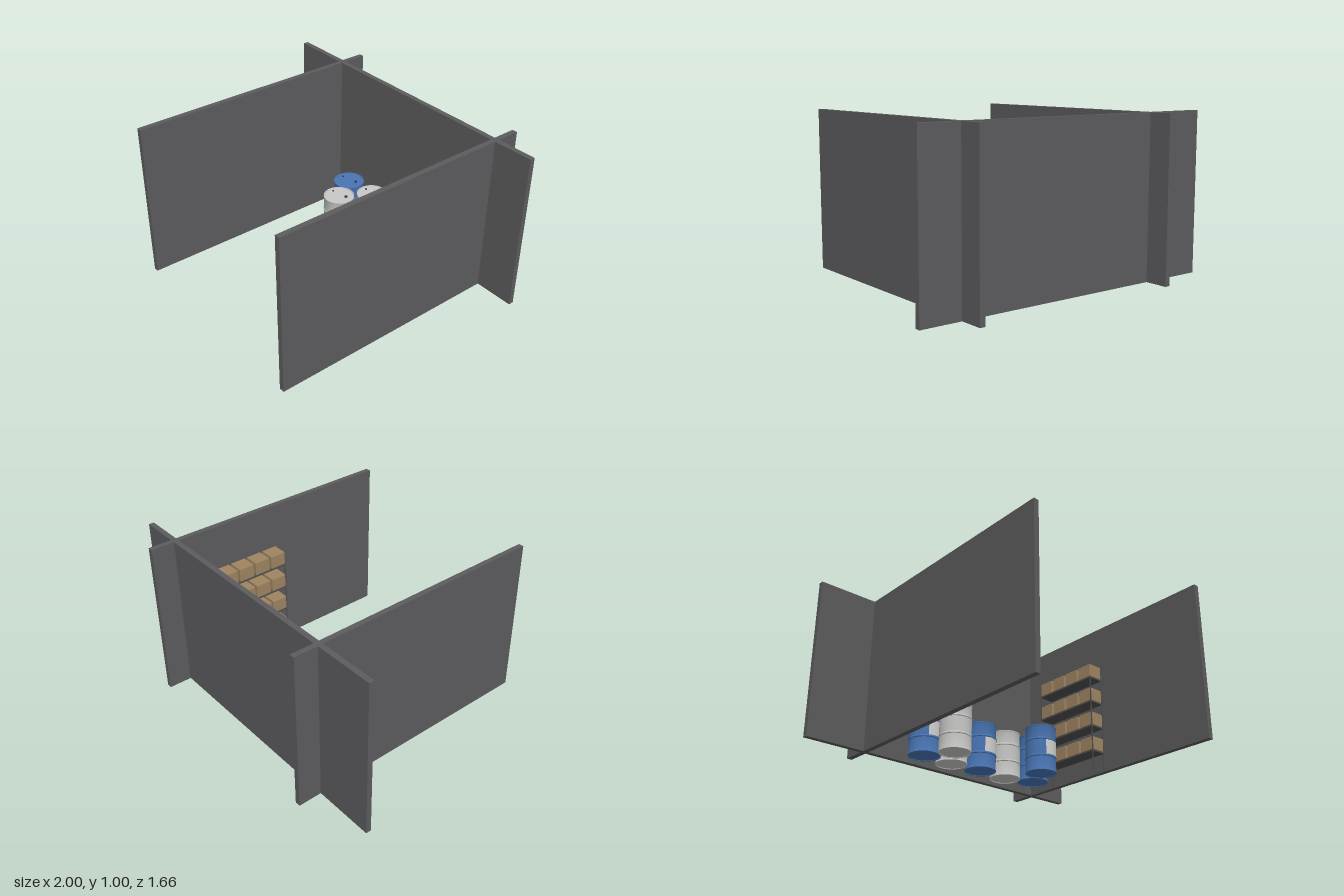
import * as THREE from 'three';
import { toCreasedNormals } from 'three/addons/utils/BufferGeometryUtils.js';
import { RoundedBoxGeometry } from 'three/addons/geometries/RoundedBoxGeometry.js';

function material(name, color, side = THREE.FrontSide) {
  const m = new THREE.MeshStandardMaterial({ color, side });
  m.name = name;
  return m;
}

function add(parent, name, geometry, mat, x, y, z) {
  const mesh = new THREE.Mesh(geometry, mat);
  mesh.name = name;
  mesh.position.set(x, y, z);
  parent.add(mesh);
  return mesh;
}

export function createModel() {
  const wallGrey = material('wall grey', 0x5c5c5e);
  const rackGrey = material('rack dark grey', 0x505052);
  const drumBlue = material('drum blue', 0x4a76b5);
  const drumGrey = material('drum pale grey', 0xc8c8c6);
  const labelWhite = material('label white', 0xd2d2d0, THREE.DoubleSide);
  const bungDark = material('bung dark', 0x38383a);
  const cardboard = material('cardboard brown', 0x9e8461);

  const model = new THREE.Group();
  model.name = 'storageBay';

  // Crossing wall panels
  const walls = new THREE.Group();
  walls.name = 'walls';
  model.add(walls);
  add(walls, 'backWall', new THREE.BoxGeometry(2, 1, 0.033), wallGrey, 0, 0.5, -0.668);
  const sideWall = new THREE.BoxGeometry(0.033, 1, 1.664);
  add(walls, 'rightWall', sideWall, wallGrey, -0.605, 0.5, 0);
  add(walls, 'leftWall', sideWall, wallGrey, 0.73, 0.5, 0);

  // Drum profile: rolled rims, two hoops and a recessed lid
  const profile = [[0, 0.004], [0.092, 0.004], [0.093, 0], [0.099, 0], [0.099, 0.006], [0.097, 0.009]];
  for (const y of [0.097, 0.207]) {
    profile.push([0.097, y - 0.007], [0.1, y - 0.003], [0.1, y + 0.003], [0.097, y + 0.007]);
  }
  profile.push([0.097, 0.291], [0.099, 0.294], [0.099, 0.3], [0.093, 0.3], [0.092, 0.295], [0, 0.295]);
  const drumShape = toCreasedNormals(
    new THREE.LatheGeometry(profile.map(([r, y]) => new THREE.Vector2(r, y)), 40), 0.6);
  const labelShape = new THREE.CylinderGeometry(0.0985, 0.0985, 0.095, 16, 1, true, -0.39, 1.26);
  const bungShape = new THREE.CylinderGeometry(0.01, 0.01, 0.009, 12);
  const smallBungShape = new THREE.CylinderGeometry(0.006, 0.006, 0.007, 12);

  // Drums: x, z and whether blue with a label
  const drums = [
    [-0.303, -0.488, true], [-0.087, -0.503, false], [0.13, -0.488, true], [0.346, -0.503, false],
    [0.53, -0.438, true], [-0.203, -0.32, false], [0.446, -0.27, true],
  ];
  for (const [x, z, blue] of drums) {
    const drum = new THREE.Group();
    drum.name = blue ? 'blueDrum' : 'greyDrum';
    drum.position.set(x, 0, z);
    add(drum, 'drumBody', drumShape, blue ? drumBlue : drumGrey, 0, 0, 0);
    if (blue) add(drum, 'drumLabel', labelShape, labelWhite, 0, 0.152, 0);
    add(drum, 'largeBung', bungShape, bungDark, 0.04, 0.298, -0.025);
    add(drum, 'smallBung', smallBungShape, bungDark, -0.065, 0.297, -0.005);
    model.add(drum);
  }

  // Rack against the left wall
  const rack = new THREE.Group();
  rack.name = 'rack';
  model.add(rack);
  const shelfLevels = [0.124, 0.29, 0.457, 0.624];
  const post = new THREE.BoxGeometry(0.006, 0.63, 0.006);
  for (const x of [0.613, 0.71]) {
    for (const z of [-0.432, 0.027]) add(rack, 'rackPost', post, rackGrey, x, 0.315, z);
  }
  const shelf = new THREE.BoxGeometry(0.102, 0.01, 0.464);
  const carton = new RoundedBoxGeometry(0.1, 0.088, 0.105, 1, 0.004);
  for (const y of shelfLevels) {
    add(rack, 'shelf', shelf, rackGrey, 0.662, y - 0.002, -0.2025);
    // Row of cartons on each shelf
    for (let i = 0; i < 4; i++) {
      add(rack, 'carton', carton, cardboard, 0.662, y + 0.047, -0.381 + i * 0.119);
    }
  }
  return model;
}
